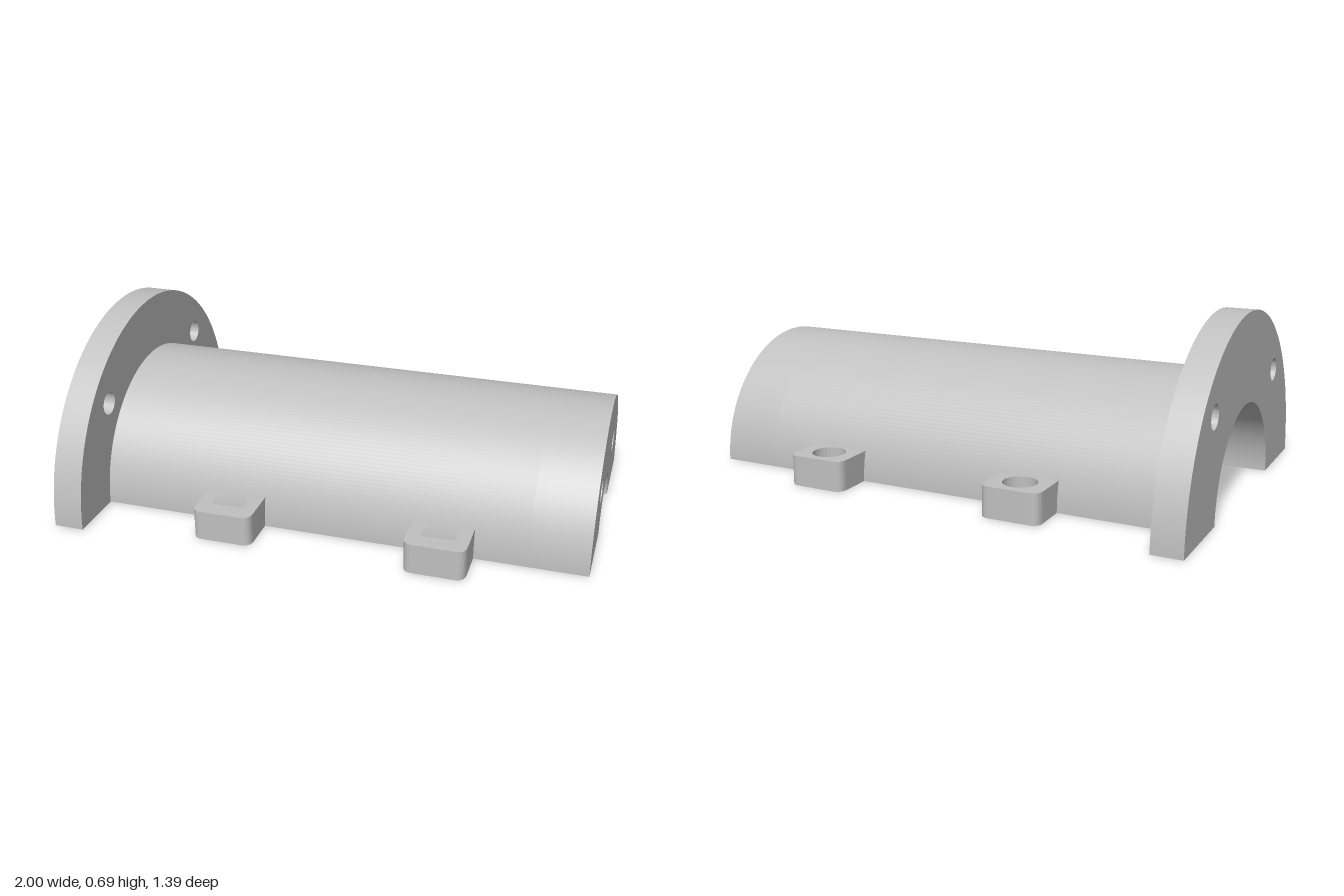
import * as THREE from 'three';
import { toCreasedNormals } from 'three/addons/utils/BufferGeometryUtils.js';

const BODY_R = 0.467, BORE_R = 0.353, FLANGE_R = 0.693, SHAFT_R = 0.16;

export function createModel() {
  const group = new THREE.Group();
  const metal = new THREE.MeshStandardMaterial({ color: 0xc0c0c0 });

  const add = (name, geometry) => {
    const mesh = new THREE.Mesh(toCreasedNormals(geometry, 0.5), metal);
    mesh.name = name;
    group.add(mesh);
  };
  const punch = (shape, x, y, r) => {
    const hole = new THREE.Path();
    hole.absarc(x, y, r, 0, Math.PI * 2, true);
    shape.holes.push(hole);
  };
  const extrude = (shape, depth) =>
    new THREE.ExtrudeGeometry(shape, { depth, bevelEnabled: false, curveSegments: 48 });

  // Half ring running along x, with a mirrored pair of optional bolt holes
  const halfRing = (name, x0, x1, outer, inner, bolt) => {
    const shape = new THREE.Shape();
    shape.absarc(0, 0, outer, 0, Math.PI, false);
    shape.absarc(0, 0, inner, Math.PI, 0, true);
    shape.closePath();
    if (bolt) for (const s of [-1, 1]) punch(shape, s * bolt.z, bolt.y, bolt.r);
    add(name, extrude(shape, x1 - x0).rotateY(Math.PI / 2).translate(x0, 0, 0));
  };

  halfRing('flange', -1, -0.885, FLANGE_R, BORE_R, { z: 0.403, y: 0.402, r: 0.045 });
  halfRing('housingShell', -0.885, 0.78, BODY_R, BORE_R);
  // End wall in two layers so that its bolt holes are stepped
  halfRing('endWallInner', 0.78, 0.82, BODY_R, SHAFT_R, { z: 0.218, y: 0.217, r: 0.035 });
  halfRing('endWallOuter', 0.82, 1, BODY_R, SHAFT_R, { z: 0.218, y: 0.217, r: 0.045 });

  // Clamping lugs with counterbored holes, rounded on the outer corners
  const lugLayer = (name, x, side, y0, y1, holeR) => {
    const w = 0.115, near = 0.445, far = 0.625, c = 0.04;
    const shape = new THREE.Shape();
    shape.moveTo(x - w, side * near);
    shape.lineTo(x + w, side * near);
    shape.lineTo(x + w, side * (far - c));
    shape.quadraticCurveTo(x + w, side * far, x + w - c, side * far);
    shape.lineTo(x - w + c, side * far);
    shape.quadraticCurveTo(x - w, side * far, x - w, side * (far - c));
    shape.closePath();
    punch(shape, x, side * 0.528, holeR);
    add(name, extrude(shape, y1 - y0).rotateX(-Math.PI / 2).translate(0, y0, 0));
  };
  for (const x of [-0.345, 0.465]) {
    for (const side of [-1, 1]) {
      lugLayer('lugBase', x, side, 0, 0.06, 0.032);
      lugLayer('lugTop', x, side, 0.06, 0.117, 0.064);
    }
  }
  return group;
}
